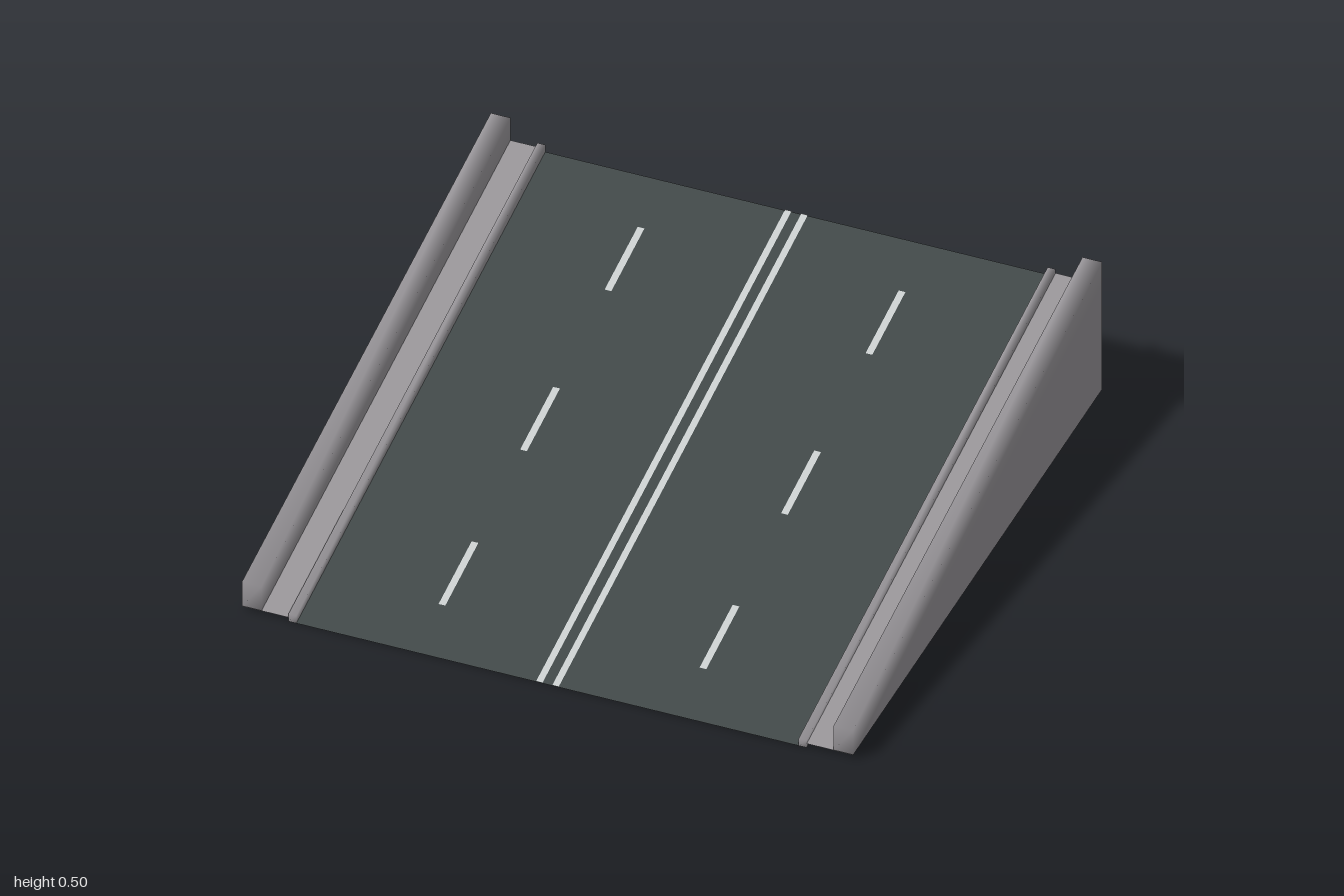
import * as THREE from 'three';

const mat = (name, color) => new THREE.MeshStandardMaterial({ name, color, side: THREE.DoubleSide });

// Height of the road surface: rises from the front (z = 1) to the back (z = -1)
const roadY = (z) => 0.2 * (1 - z);

// Sweeps a cross-section of [x, yFront, yBack] points from z0 (front) to z1 (back);
// cap lists the four profile indices closed off at both ends.
function sweep(name, material, profile, z0 = 1, z1 = -1, cap = null) {
  const pts = profile[0][0] > profile[profile.length - 1][0] ? [...profile].reverse() : profile;
  const pos = [], index = [];
  for (const [x, yf, yb] of pts) pos.push(x, yf, z0, x, yb, z1);
  for (let i = 0; i < pts.length - 1; i++) {
    const f = 2 * i;
    index.push(f, f + 2, f + 1, f + 2, f + 3, f + 1);
  }
  if (cap) {
    const [a, b, c, d] = cap.map((i) => 2 * i);
    index.push(a, d, c, a, c, b);
    index.push(a + 1, c + 1, d + 1, a + 1, b + 1, c + 1);
  }
  const geo = new THREE.BufferGeometry();
  geo.setAttribute('position', new THREE.Float32BufferAttribute(pos, 3));
  geo.setIndex(index);
  geo.computeVertexNormals();
  const mesh = new THREE.Mesh(geo, material);
  mesh.name = name;
  return mesh;
}

export function createModel() {
  const group = new THREE.Group();
  group.name = 'roadRamp';
  const asphalt = mat('asphalt', 0x424949);
  const concrete = mat('concrete', 0x989599);
  const paint = mat('linePaint', 0xccd0d0);

  // Flat strip lying parallel to the road, lifted by h
  const strip = (name, material, x0, x1, h, z0 = 1, z1 = -1) =>
    sweep(name, material, [[x0, roadY(z0) + h, roadY(z1) + h], [x1, roadY(z0) + h, roadY(z1) + h]], z0, z1);

  group.add(strip('roadDeck', asphalt, -0.84, 0.84, 0));

  for (const s of [-1, 1]) {
    const side = s > 0 ? 'left' : 'right';

    // Centre line and lane dashes
    group.add(strip(side + 'CentreLine', paint, s * 0.016, s * 0.037, 0.003));
    for (const z of [0.667, 0.012, -0.667]) {
      group.add(strip(side + 'LaneDash', paint, s * 0.427 - 0.011, s * 0.427 + 0.011, 0.003, z + 0.133, z - 0.133));
    }

    // Raised curb with softly shaded edges
    group.add(sweep(side + 'Curb', concrete, [
      [s * 0.822, 0, 0.4], [s * 0.822, 0.028, 0.427],
      [s * 0.848, 0.028, 0.427], [s * 0.848, 0, 0.4],
    ], 1, -1, [0, 1, 2, 3]));

    // Walkway running on beneath the parapet
    group.add(sweep(side + 'Walkway', concrete, [[s * 0.848, 0.015, 0.412], [s * 0.999, 0.015, 0.412]]));

    // Hollow side wall, closed at its ends only above the walkway
    group.add(sweep(side + 'Wall', concrete, [
      [s * 0.936, 0.015, 0.015], [s * 0.936, 0.016, 0.412], [s * 0.936, 0.107, 0.497],
      [s, 0.107, 0.497], [s, 0.016, 0.412], [s, 0.015, 0.015],
    ], 1, -1, [1, 2, 3, 4]));
  }
  return group;
}
